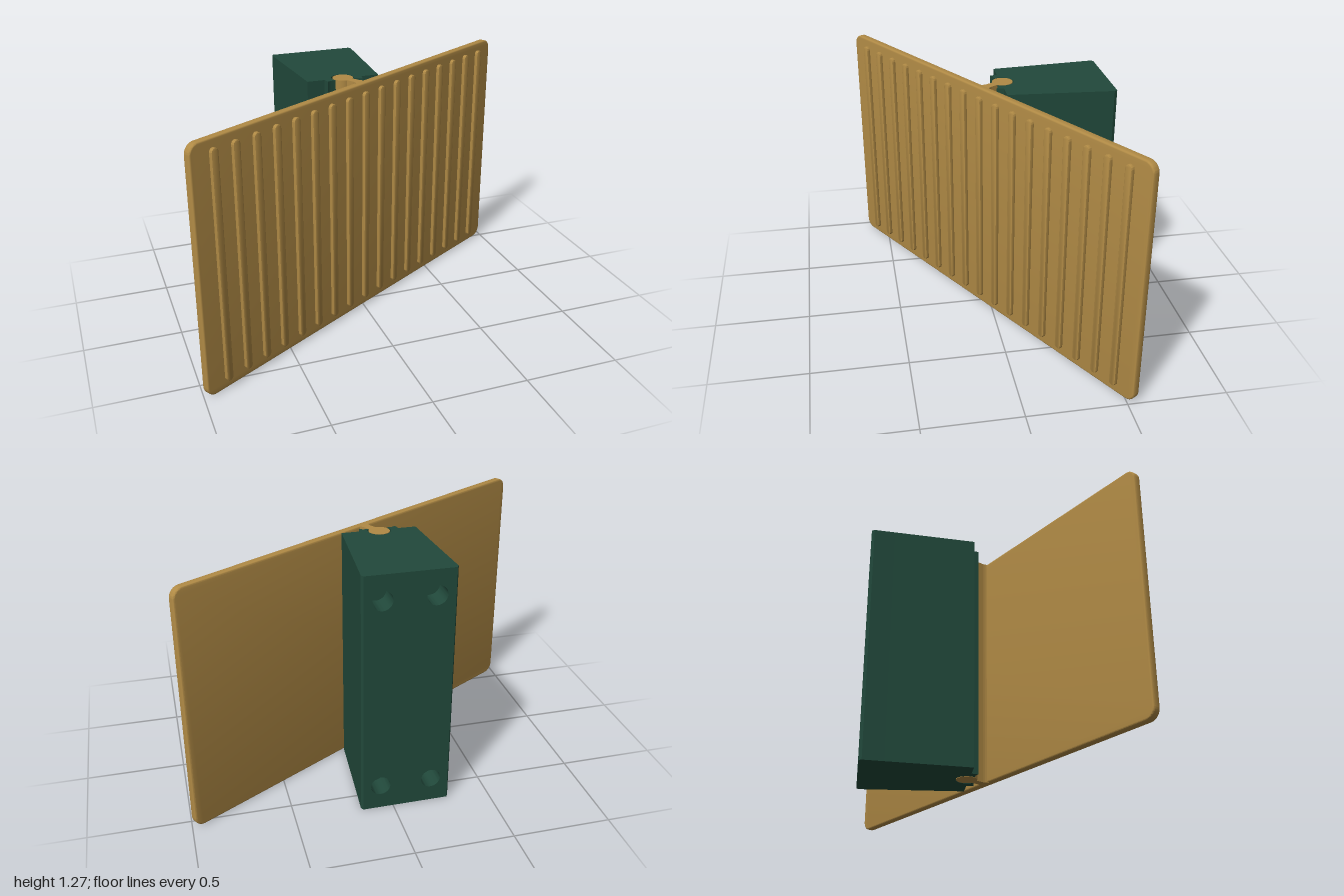
import * as THREE from 'three';
import { toCreasedNormals } from 'three/addons/utils/BufferGeometryUtils.js';

const H = 1.273;
const tan = new THREE.MeshStandardMaterial({ color: 0xb08a45 });
const green = new THREE.MeshStandardMaterial({ color: 0x21493b });

function addMesh(parent, name, geometry, material) {
  const mesh = new THREE.Mesh(toCreasedNormals(geometry, 0.6), material);
  mesh.name = name;
  parent.add(mesh);
  return mesh;
}

function roundedRect(w, h, r) {
  const s = new THREE.Shape();
  const x = w / 2 - r, y = h / 2 - r;
  s.absarc(x, y, r, 0, Math.PI / 2);
  s.absarc(-x, y, r, Math.PI / 2, Math.PI);
  s.absarc(-x, -y, r, Math.PI, Math.PI * 1.5);
  s.absarc(x, -y, r, Math.PI * 1.5, Math.PI * 2);
  s.closePath();
  return s;
}

// Plan outline (x, -z) pulled up to the full height
function upright(shape) {
  const g = new THREE.ExtrudeGeometry(shape, { depth: H, bevelEnabled: false, curveSegments: 32 });
  return g.rotateX(-Math.PI / 2);
}

function createBlock() {
  const block = new THREE.Group();
  block.name = 'mountingBlock';
  block.position.x = -0.065;

  // Tapered body with a round socket and two lips at the front
  const s = new THREE.Shape();
  s.moveTo(-0.221, 0.5);
  s.lineTo(-0.19, 0.07);
  s.lineTo(-0.1, 0.07);
  s.lineTo(-0.093, 0.035);
  s.lineTo(-0.075, 0.045);
  s.absarc(0, 0.08, 0.058, Math.PI * 1.19, -Math.PI * 0.19, true);
  s.lineTo(0.075, 0.045);
  s.lineTo(0.093, 0.035);
  s.lineTo(0.1, 0.07);
  s.lineTo(0.19, 0.07);
  s.lineTo(0.221, 0.5);
  s.closePath();
  addMesh(block, 'blockBody', upright(s), green);

  // Back part with four blind screw holes
  const back = new THREE.Shape();
  back.moveTo(-0.23, 0);
  back.lineTo(0.23, 0);
  back.lineTo(0.23, H);
  back.lineTo(-0.23, H);
  back.closePath();
  for (const x of [-0.13, 0.13]) {
    for (const y of [0.13, H - 0.13]) {
      const hole = new THREE.Path();
      hole.absarc(x, y, 0.05, 0, Math.PI * 2, true);
      back.holes.push(hole);
    }
  }
  const g = new THREE.ExtrudeGeometry(back, { depth: 0.12, steps: 8, bevelEnabled: false, curveSegments: 24 });
  // Taper the sides and soften the two upright back edges
  const p = g.attributes.position;
  for (let i = 0; i < p.count; i++) {
    const x = p.getX(i), z = p.getZ(i);
    if (Math.abs(x) < 0.2) continue;
    const half = z < 0.001 ? 0.22 : 0.23 - z * 0.075;
    p.setX(i, Math.sign(x) * half);
  }
  g.translate(0, 0, -0.62);
  addMesh(block, 'blockBack', g, green);
  return block;
}

function createPanel() {
  const panel = new THREE.Group();
  panel.name = 'swivelPanel';
  panel.position.z = 0.03;
  panel.rotation.y = Math.PI / 6;

  // Board with softened edges
  const b = 0.008, t = 0.04;
  const board = new THREE.ExtrudeGeometry(roundedRect(2.286 - 2 * b, H - 2 * b, 0.045), {
    depth: t - 2 * b, bevelThickness: b, bevelSize: b, bevelSegments: 3, curveSegments: 8,
  });
  board.translate(0, H / 2, b - t / 2);
  addMesh(panel, 'board', board, tan);

  // Row of upright ribs
  const rib = new THREE.ExtrudeGeometry(roundedRect(0.032, 1.178, 0.0159), {
    depth: 0.018, bevelThickness: 0.005, bevelSize: 0.004, bevelSegments: 2, curveSegments: 6,
  });
  rib.translate(0, H / 2, 0.015);
  for (let i = 0; i < 17; i++) {
    addMesh(panel, 'rib', rib, tan).position.x = (i - 8) * 0.127;
  }

  // Hinge pin on a flared web
  const pin = new THREE.CylinderGeometry(0.053, 0.053, H, 40);
  pin.translate(0, H / 2, -0.128);
  addMesh(panel, 'hingePin', pin, tan);
  const web = new THREE.Shape();
  web.moveTo(-0.035, 0.01);
  web.lineTo(0.035, 0.01);
  web.quadraticCurveTo(0.021, 0.025, 0.021, 0.045);
  web.lineTo(0.021, 0.1);
  web.lineTo(-0.021, 0.1);
  web.lineTo(-0.021, 0.045);
  web.quadraticCurveTo(-0.021, 0.025, -0.035, 0.01);
  addMesh(panel, 'hingeWeb', upright(web), tan);
  return panel;
}

export function createModel() {
  const model = new THREE.Group();
  model.name = 'swivelPanelOnBlock';
  model.add(createBlock(), createPanel());
  return model;
}
